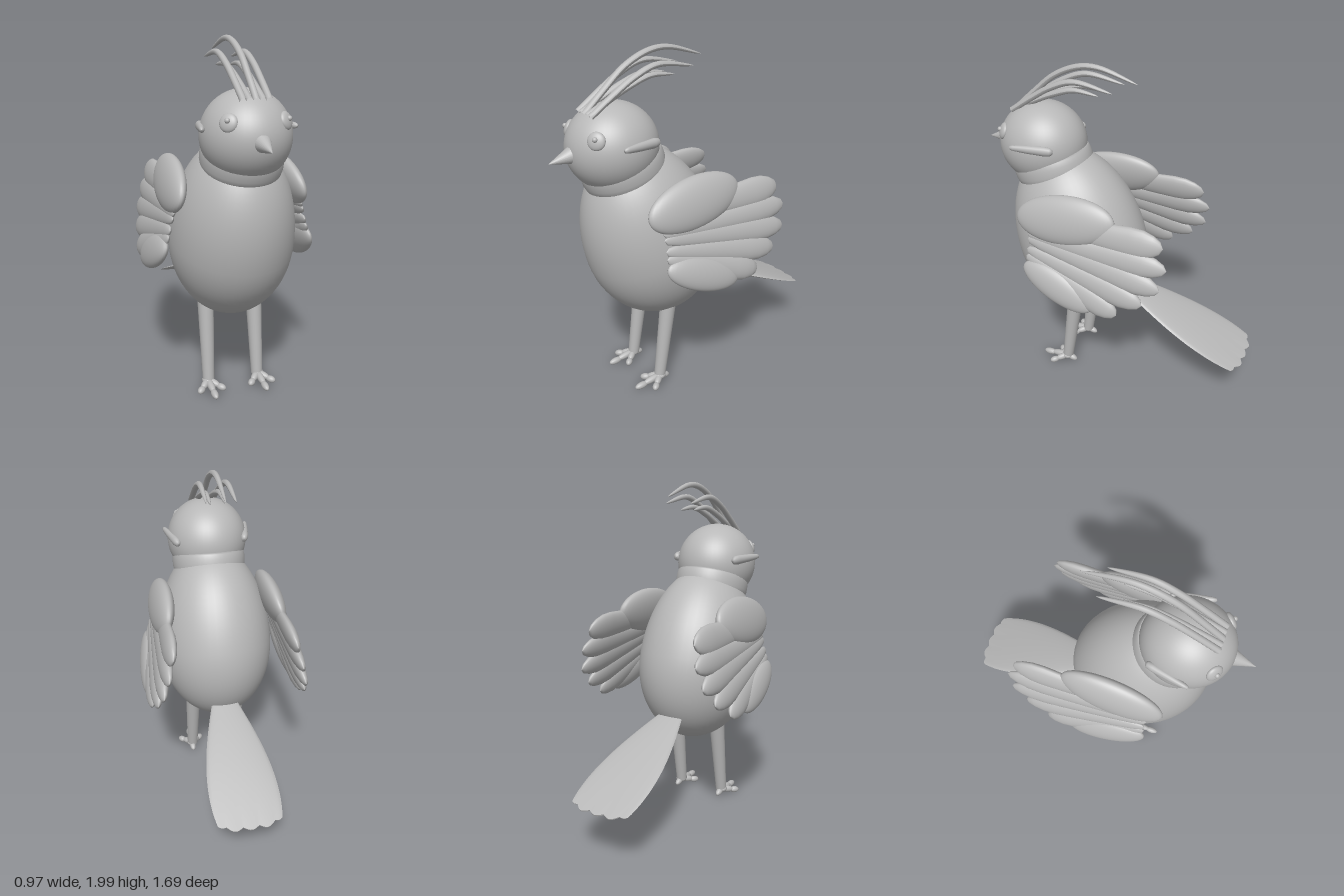
import * as THREE from 'three';

const grey = new THREE.MeshStandardMaterial({ color: 0xb8b8b8 });
grey.name = 'plain grey';
const V = (x, y, z) => new THREE.Vector3(x, y, z);
const UP = V(0, 1, 0);

export function createModel() {
  const root = new THREE.Group();
  root.name = 'crestedBird';

  const add = (name, geo, pos = [0, 0, 0], parent = root) => {
    const m = new THREE.Mesh(geo, grey);
    m.name = name;
    m.position.set(...pos);
    parent.add(m);
    return m;
  };
  const lathe = (pts, seg = 40) => new THREE.LatheGeometry(pts.map(([r, y]) => new THREE.Vector2(r, y)), seg);
  const ellipsoid = (name, pos, size, parent = root, seg = 32) => {
    const m = add(name, new THREE.SphereGeometry(1, seg, Math.ceil(seg * 0.7)), pos, parent);
    m.scale.set(...size);
    return m;
  };
  // Round tapered piece running from a to b
  const limb = (name, a, b, ra, rb, parent = root) => {
    const m = add(name, new THREE.CylinderGeometry(rb, ra, a.distanceTo(b), 24),
      a.clone().lerp(b, 0.5).toArray(), parent);
    m.quaternion.setFromUnitVectors(UP, b.clone().sub(a).normalize());
    return m;
  };
  // Long ellipsoid running from a to b
  const pod = (name, a, b, r, parent = root) => {
    const m = ellipsoid(name, a.clone().lerp(b, 0.5).toArray(), [r, a.distanceTo(b) / 2, r], parent, 16);
    m.quaternion.setFromUnitVectors(UP, b.clone().sub(a).normalize());
    return m;
  };

  // Egg-shaped body leaning forward
  const egg = [];
  for (let i = 0; i <= 36; i++) {
    const a = -Math.PI / 2 + (i / 36) * Math.PI;
    egg.push([Math.max(0, Math.cos(a)), Math.sin(a) * (a < 0 ? 0.47 : 0.6)]);
  }
  const body = add('body', lathe(egg, 48), [0, 0.9, 0.24]);
  body.scale.set(0.35, 1, 0.4);
  body.rotation.x = 0.3;

  // Neck band
  const collar = add('collar', lathe([[0, -0.062], [0.93, -0.06], [0.97, -0.052], [1, -0.02],
    [1, 0.02], [0.98, 0.05], [0.95, 0.06], [0, 0.062]], 48), [0, 1.375, 0.415]);
  collar.scale.set(0.222, 1, 0.24);
  collar.rotation.x = 0.32;

  // Head and beak
  ellipsoid('head', [0, 1.5, 0.475], [0.24, 0.242, 0.257], root, 48);
  limb('beak', V(0, 1.497, 0.69), V(0, 1.468, 0.845), 0.056, 0.001);

  // Crest: five swept-back plumes, given as [x at base, x at tip, points (y, z)]
  const plumes = [
    [0, 0, [[1.69, 0.63], [1.8, 0.51], [1.905, 0.385], [1.97, 0.24], [1.98, 0.12], [1.92, -0.11]]],
  ];
  for (const s of [-1, 1]) {
    plumes.push([0.035 * s, 0.042 * s, [[1.69, 0.63], [1.755, 0.5], [1.81, 0.38], [1.85, 0.25], [1.84, 0.1]]]);
    plumes.push([0.068 * s, 0.08 * s, [[1.69, 0.63], [1.78, 0.5], [1.86, 0.37], [1.91, 0.23], [1.88, 0]]]);
  }
  for (const [x0, x1, pts] of plumes) {
    const n = pts.length - 1;
    const curve = new THREE.CatmullRomCurve3(pts.map(([y, z], i) => V(x0 + (x1 - x0) * i / n, y, z)));
    const segs = 28, sides = 10;
    const geo = new THREE.TubeGeometry(curve, segs, 1, sides);
    const p = geo.attributes.position, v = V(0, 0, 0);
    for (let i = 0; i < p.count; i++) {
      const t = Math.floor(i / (sides + 1)) / segs;
      const c = curve.getPointAt(t);
      const r = t < 0.5 ? 0.018 : 0.018 * Math.sqrt(Math.max(0.003, 1 - ((t - 0.5) / 0.5) ** 1.6));
      v.fromBufferAttribute(p, i).sub(c).multiplyScalar(r).add(c);
      p.setXYZ(i, v.x, v.y, v.z);
    }
    geo.computeVertexNormals();
    add('crestPlume', geo);
  }

  // Feather outline: narrow root, broad near the tip
  const featherProfile = [[0, 0], [0.3, 0.02], [0.5, 0.1], [0.66, 0.25], [0.8, 0.42], [0.93, 0.6],
    [1, 0.74], [0.94, 0.84], [0.72, 0.92], [0.42, 0.975], [0, 1]];
  // Feathers as [root y, root z, tip y, tip z, half width]
  const feathers = [
    [1.17, 0.3, 1.185, -0.41, 0.085],
    [1.09, 0.4, 1.07, -0.445, 0.075],
    [1.06, 0.4, 0.95, -0.42, 0.075],
    [1.0, 0.4, 0.845, -0.33, 0.075],
    [0.96, 0.4, 0.75, -0.19, 0.075],
  ];

  for (const s of [1, -1]) {
    const side = s > 0 ? 'left' : 'right';

    // Eye with a raised pupil
    const eyeDir = V(0.15 * s, 0.075, 0.17).normalize();
    const eye = ellipsoid(side + 'Eye', [0.149 * s, 1.59, 0.647], [0.048, 0.048, 0.022]);
    eye.quaternion.setFromUnitVectors(V(0, 0, 1), eyeDir);
    const pupilAt = V(0.149 * s, 1.597, 0.649).addScaledVector(eyeDir, 0.018);
    ellipsoid(side + 'Pupil', pupilAt.toArray(), [0.014, 0.014, 0.014], root, 16);

    // Cheek bar on the side of the head
    const bar = add(side + 'CheekBar', lathe([[0, -0.125], [0.5, -0.122], [0.85, -0.11], [1, -0.08],
      [0.85, 0.02], [0.6, 0.1], [0.4, 0.12], [0, 0.125]], 20), [0.226 * s, 1.543, 0.428]);
    bar.scale.set(0.024, 1, 0.028);
    bar.quaternion.setFromUnitVectors(UP, V(0.055 * s, 0.008, 0.235).normalize());

    // Wing hangs outward towards its lower edge
    const wing = new THREE.Group();
    wing.name = side + 'Wing';
    wing.position.set(0.337 * s, 1.2, 0);
    wing.rotation.z = 0.24 * s;
    root.add(wing);
    const drop = y => (y - 1.2) / Math.cos(0.24);
    const covert = ellipsoid(side + 'WingShoulder', [0, drop(1.212), 0.175], [0.062, 0.143, 0.302], wing, 40);
    covert.rotation.x = 0.13;
    for (const [y0, z0, y1, z1, w] of feathers) {
      const dy = drop(y1) - drop(y0), dz = z1 - z0, len = Math.hypot(dy, dz);
      const f = add(side + 'WingFeather', lathe(featherProfile, 24), [0, drop(y0), z0], wing);
      f.scale.set(0.036, len, w);
      f.rotation.x = Math.atan2(dz, dy);
    }
    const lower = ellipsoid(side + 'WingLowerFeather', [0.004 * s, drop(0.825), 0.185], [0.045, 0.095, 0.24], wing);
    lower.rotation.x = -0.36;

    // Leg
    limb(side + 'Leg', V(0.15 * s, 0.045, 0.298), V(0.146 * s, 0.62, 0.215), 0.034, 0.05);

    // Foot: three forward toes with a fat tip each, and one hind toe
    const foot = new THREE.Group();
    foot.name = side + 'Foot';
    foot.position.set(0.153 * s, 0, 0.3);
    root.add(foot);
    ellipsoid('ankle', [0, 0.045, 0], [0.036, 0.024, 0.036], foot, 16);
    for (const a of [-0.72, 0, 0.72]) {
      const len = a ? 0.12 : 0.175;
      const at = (d, y) => V(Math.sin(a) * d, y, Math.cos(a) * d);
      pod('toe', at(-0.01, 0.045), at(len * 0.68, 0.026), 0.021, foot);
      pod('toeTip', at(len * 0.5, 0.026), at(len, 0.02), 0.02, foot);
    }
    pod('hindToe', V(0, 0.048, 0.01), V(0, 0.022, -0.066), 0.02, foot);
  }

  // Tail fan: thin lens with a scalloped end
  const tailGeo = new THREE.BoxGeometry(2, 2, 1, 40, 1, 24);
  const p = tailGeo.attributes.position;
  for (let i = 0; i < p.count; i++) {
    const u = p.getX(i), t = 0.5 - p.getZ(i);
    const w = 0.075 + 0.125 * Math.sin(Math.min(1, t / 0.76) * Math.PI / 2)
      - 0.018 * Math.max(0, (t - 0.76) / 0.24) ** 2;
    const thick = 0.004 + 0.017 * Math.sin(Math.PI * Math.min(1, 0.2 + t * 0.8));
    const len = 0.83 - 0.045 * u ** 4 * t ** 3 - 0.02 * (1 - Math.abs(Math.cos(2 * Math.PI * u))) * t ** 8;
    p.setXYZ(i, u * w, p.getY(i) * thick * Math.sqrt(Math.max(0, 1 - u * u)), -t * len);
  }
  tailGeo.computeVertexNormals();
  const tail = add('tail', tailGeo, [0, 0.645, -0.075]);
  tail.rotation.x = -0.39;

  return root;
}
